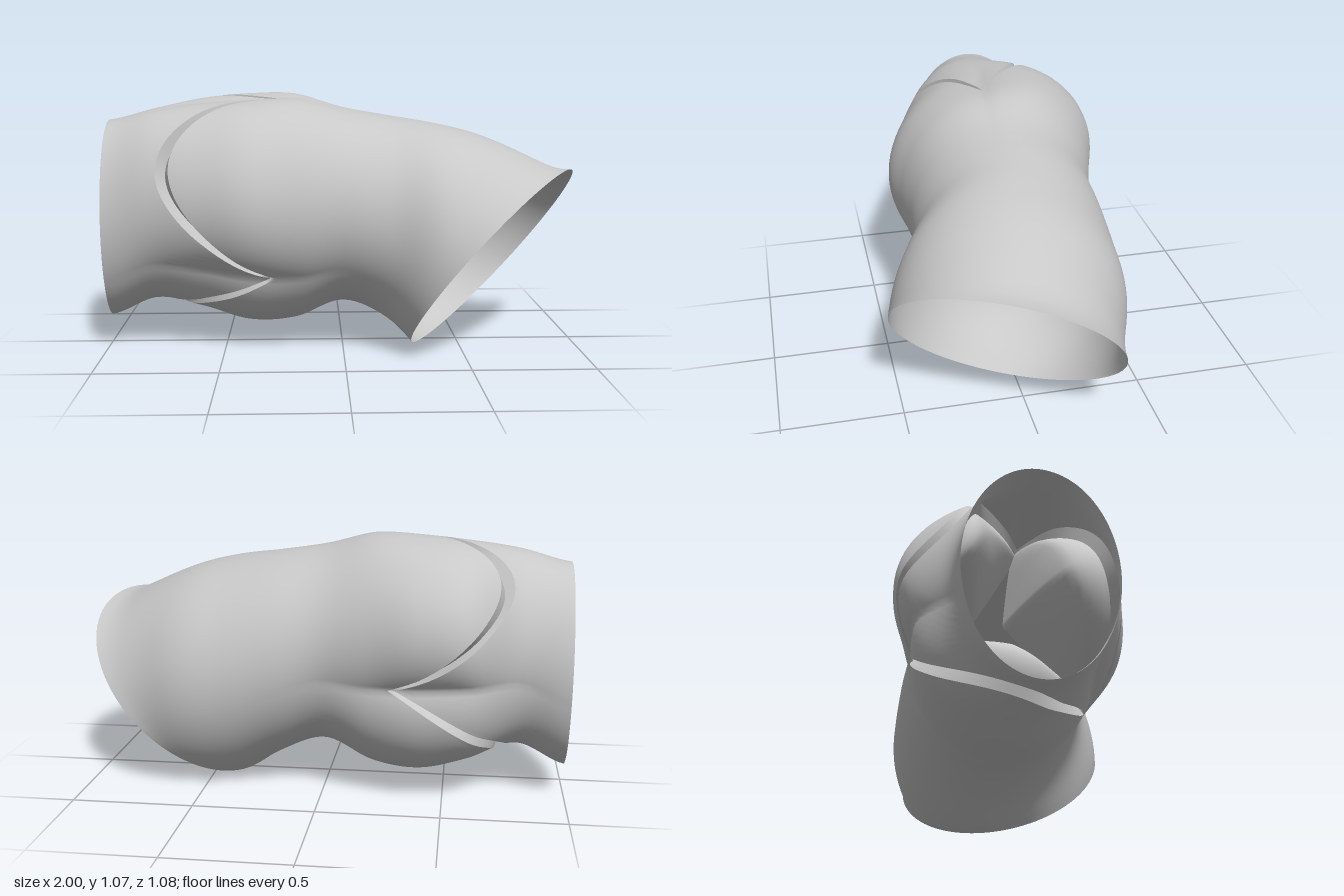
import * as THREE from 'three';

// Wall limits every 0.2 along x: bottom, top, back, front
const LIMITS = [
  [0.11, 0.96, -0.36, 0.22], [0.19, 1.01, -0.365, 0.28], [0.14, 1.05, -0.52, 0.35],
  [0.085, 1.07, -0.53, 0.41], [0.10, 1.07, -0.47, 0.385], [0.18, 1.015, -0.415, 0.37],
  [0.11, 0.98, -0.42, 0.40], [0.0, 0.95, -0.42, 0.50], [-0.04, 0.91, -0.41, 0.53],
  [-0.04, 0.84, -0.345, 0.52], [0.0, 0.72, -0.30, 0.48],
];
// Angles (from up towards the back) of the three commissures, and how far they are drawn in
const COMMISSURES = [-126, -8, 104, 234].map(THREE.MathUtils.degToRad);
const DEPTHS = [0.14, 0.1, 0.24, 0.14];
// Middle of each leaflet's free edge, as y and z
const EDGE_MIDDLES = [[0.66, -0.04], [0.69, -0.2], [0.49, -0.08]];
const CENTRE = [0.59, -0.1];
const STEPS = 40;

function limitsAt(x) {
  const f = THREE.MathUtils.clamp((x + 1) / 0.2, 0, 9.999);
  const i = Math.floor(f), t = f - i;
  const row = (n) => LIMITS[THREE.MathUtils.clamp(n, 0, 10)];
  return [0, 1, 2, 3].map((c) => {
    const [p0, p1, p2, p3] = [row(i - 1)[c], row(i)[c], row(i + 1)[c], row(i + 2)[c]];
    const m1 = (p2 - p0) / 2, m2 = (p3 - p1) / 2;
    return p1 + m1 * t + (3 * (p2 - p1) - 2 * m1 - m2) * t * t + (2 * (p1 - p2) + m1 + m2) * t * t * t;
  });
}

// u runs 0..3 around the tube, one unit per sinus; q is -1..1 within a sinus
function around(u) {
  const w = ((u % 3) + 3) % 3;
  const i = Math.floor(w), t = w - i;
  return {
    q: t * 2 - 1,
    a: THREE.MathUtils.lerp(COMMISSURES[i], COMMISSURES[i + 1], t),
    depth: DEPTHS[t < 0.5 ? i : i + 1],
  };
}

// Three-lobed unit outline, as y and z
function outline(u, k) {
  const { q, a, depth } = around(u);
  const r = 1 - k * depth * Math.abs(q) ** 2.3;
  return [r * Math.cos(a), -r * Math.sin(a)];
}

const rimX = (a) => 0.64 + 0.285 * Math.cos(a) + 0.22 * Math.sin(a);

// Point of the wall at a given x, blended into the slanted rim
function wall(u, x) {
  const k = Math.exp(-(((x + 0.43) / 0.32) ** 2));
  const box = [9, -9, 9, -9];
  for (let n = 0; n < 60; n++) {
    const [y, z] = outline(n / 20, k);
    box[0] = Math.min(box[0], y); box[1] = Math.max(box[1], y);
    box[2] = Math.min(box[2], z); box[3] = Math.max(box[3], z);
  }
  const L = limitsAt(x);
  const [oy, oz] = outline(u, k);
  let y = THREE.MathUtils.mapLinear(oy, box[0], box[1], L[0], L[1]);
  let z = THREE.MathUtils.mapLinear(oz, box[2], box[3], L[2], L[3]);
  const { a } = around(u);
  const b = Math.max(0, x / rimX(a)) ** 5;
  y = THREE.MathUtils.lerp(y, 0.383 + 0.383 * Math.cos(a), b);
  z = THREE.MathUtils.lerp(z, 0.107 + 0.11 * Math.cos(a) - 0.422 * Math.sin(a), b);
  return new THREE.Vector3(x, y, z);
}

// Scalloped groove: sinus edge, inlet edge and the bottom between them
const scallop = (q) => -0.71 + 0.43 * q * q;
const grooveWidth = (q) => 0.055 * (1 - 0.5 * q ** 6);
const sinusEdge = (u) => wall(u, scallop(around(u).q));
const inletX = (u) => scallop(around(u).q) - grooveWidth(around(u).q);
function grooveBottom(u) {
  const { q } = around(u);
  const p = wall(u, scallop(q) - grooveWidth(q) * 0.3);
  const d = new THREE.Vector3(0, CENTRE[0] - p.y, CENTRE[1] - p.z).normalize();
  return p.addScaledVector(d, 0.045 * (1 - 0.4 * q ** 6));
}

// Smooth grid surface; closed grids wrap in the first direction
function grid(fn, nu, nv, closed) {
  const pos = [], index = [];
  const rows = closed ? nu : nu + 1;
  for (let i = 0; i < rows; i++)
    for (let j = 0; j <= nv; j++) pos.push(...fn(i / nu, j / nv).toArray());
  const id = (i, j) => (i % rows) * (nv + 1) + j;
  for (let i = 0; i < nu; i++)
    for (let j = 0; j < nv; j++) {
      index.push(id(i, j), id(i, j + 1), id(i + 1, j));
      index.push(id(i, j + 1), id(i + 1, j + 1), id(i + 1, j));
    }
  const g = new THREE.BufferGeometry();
  g.setAttribute('position', new THREE.Float32BufferAttribute(pos, 3));
  g.setIndex(index);
  g.computeVertexNormals();
  return g;
}

export function createModel() {
  const model = new THREE.Group();
  const tissue = new THREE.MeshStandardMaterial({ color: 0xc8c8c8, side: THREE.DoubleSide });
  tissue.name = 'pale grey tissue';
  const add = (name, geometry, parent = model) => {
    const mesh = new THREE.Mesh(geometry, tissue);
    mesh.name = name;
    parent.add(mesh);
  };
  const N = STEPS * 3;

  // Vessel with its three bulging sinuses, and the inlet tube
  add('vesselWall', grid((s, t) => {
    const u = s * 3, { q, a } = around(u);
    return wall(u, THREE.MathUtils.lerp(scallop(q), rimX(a), t));
  }, N, 48, true));
  add('inletTube', grid((s, t) => wall(s * 3, THREE.MathUtils.lerp(-1, inletX(s * 3), t)), N, 16, true));

  // Two sides of the groove between inlet and sinuses
  add('grooveInletSide', grid((s, t) => wall(s * 3, inletX(s * 3)).lerp(grooveBottom(s * 3), t), N, 1, true));
  add('grooveSinusSide', grid((s, t) => grooveBottom(s * 3).lerp(sinusEdge(s * 3), t), N, 1, true));

  // Three thick leaflets, each slung between two commissures
  for (let i = 0; i < 3; i++) {
    const leaflet = new THREE.Group();
    leaflet.name = 'leaflet' + (i + 1);
    model.add(leaflet);
    const start = grooveBottom(i), end = grooveBottom(i + 1);
    const middle = new THREE.Vector3(-0.3, ...EDGE_MIDDLES[i]);
    const pull = middle.sub(start.clone().lerp(end, 0.5));
    const inward = new THREE.Vector3(0, pull.y, pull.z).normalize();
    const freeEdge = (s) =>
      start.clone().lerp(end, s).addScaledVector(pull, 1 - Math.abs(s * 2 - 1));
    const upper = (s, t) => {
      const p = grooveBottom(i + s).lerp(freeEdge(s), t);
      p.x -= 0.52 * t * (1 - t) * (1 - (s * 2 - 1) ** 2);
      return p;
    };
    const lower = (s, t) => {
      const p = upper(s, t);
      const thick = Math.sin(Math.PI * s) ** 0.3 * Math.min(1, t * 3);
      p.addScaledVector(inward, 0.035 * thick);
      p.x -= 0.04 * thick;
      return p;
    };
    add('upperFace', grid((s, t) => upper(s, 1 - t), STEPS, 14, false), leaflet);
    add('lowerFace', grid(lower, STEPS, 14, false), leaflet);
    add('freeEdge', grid((s, t) => lower(s, 1).lerp(upper(s, 1), t), STEPS, 1, false), leaflet);
  }
  return model;
}
